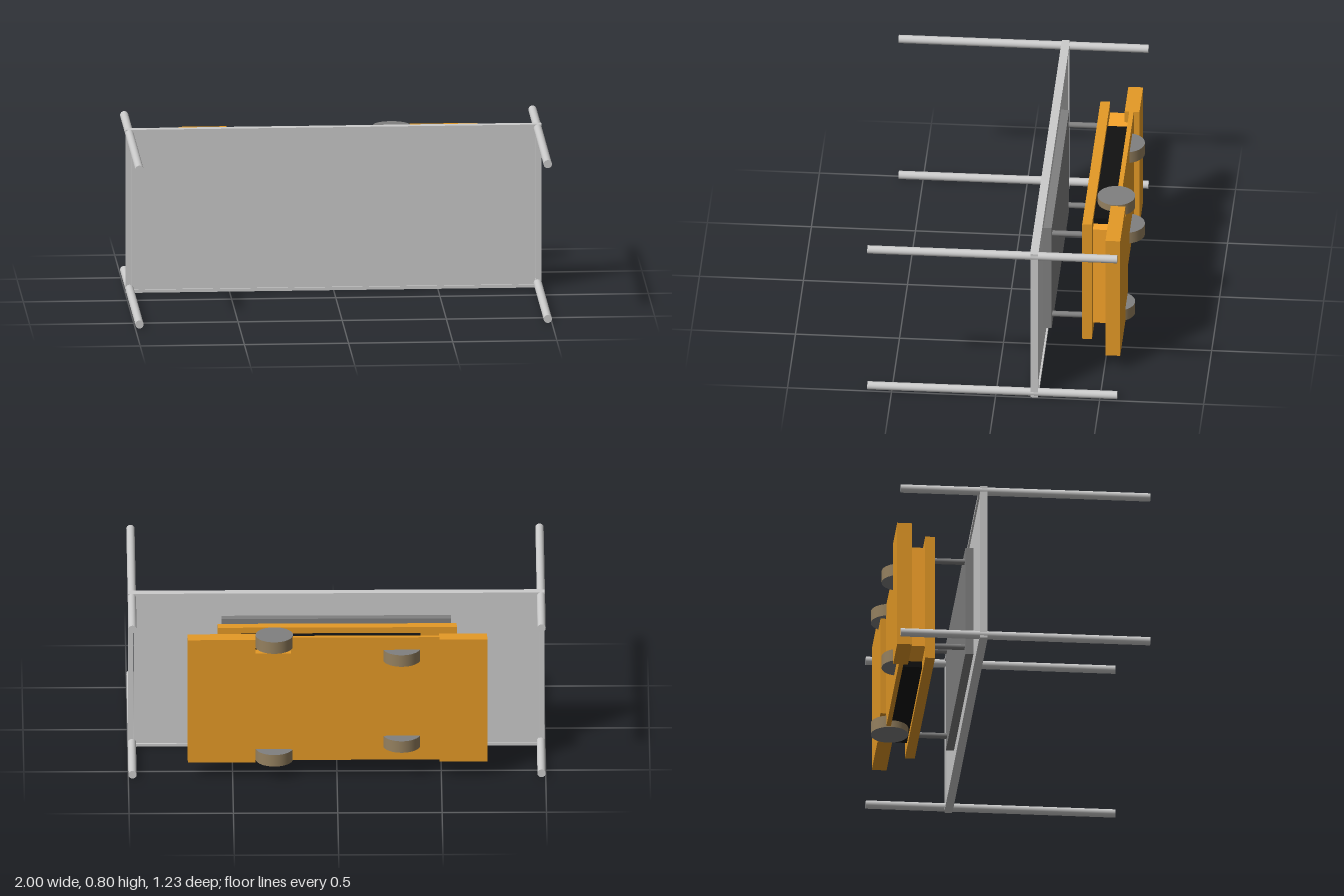
import * as THREE from 'three';

const paint = (color) => new THREE.MeshStandardMaterial({ color });

export function createModel() {
  const model = new THREE.Group();
  const grey = paint(0xcccccc), darkGrey = paint(0x808080), tread = paint(0x94805f);
  const orange = paint(0xfaa62b), deepOrange = paint(0xe59a26), black = paint(0x111111);

  // box given by its limits on each axis
  const box = (name, material, [x0, x1], [y0, y1], [z0, z1]) => {
    const mesh = new THREE.Mesh(new THREE.BoxGeometry(x1 - x0, y1 - y0, z1 - z0), material);
    mesh.position.set((x0 + x1) / 2, (y0 + y1) / 2, (z0 + z1) / 2);
    mesh.name = name;
    model.add(mesh);
  };
  // round bar running along z
  const rod = (name, material, r, x, y, z0, z1) => {
    const geometry = new THREE.CylinderGeometry(r, r, z1 - z0, 24).rotateX(Math.PI / 2);
    const mesh = new THREE.Mesh(geometry, material);
    mesh.position.set(x, y, (z0 + z1) / 2);
    mesh.name = name;
    model.add(mesh);
  };

  // shelf panel set in a rim, with four long corner poles
  box('shelfPanel', grey, [-0.97, 0.97], [0.015, 0.785], [-0.196, -0.174]);
  for (const s of [-1, 1]) {
    const side = s < 0 ? [-0.998, -0.972] : [0.972, 0.998];
    box('sideRim', grey, side, [0, 0.8], [-0.203, -0.167]);
    const edge = s < 0 ? [0, 0.015] : [0.785, 0.8];
    box('longRim', grey, [-0.98, 0.98], edge, [-0.205, -0.165]);
    for (const y of [0.02, 0.78]) {
      rod('cornerPole', grey, 0.02, s * 0.98, y, -0.583, 0.617);
    }
  }

  // lifting plate and its four struts
  box('liftPlate', darkGrey, [-0.55, 0.55], [0.12, 0.68], [-0.235, -0.196]);
  for (const x of [-0.505, 0.505]) {
    for (const y of [0.175, 0.625]) rod('liftStrut', darkGrey, 0.014, x, y, -0.39, -0.23);
  }

  // carrier body
  box('deckPlate', deepOrange, [-0.575, 0.57], [0.08, 0.72], [-0.43, -0.383]);
  box('body', orange, [-0.575, 0.515], [0.14, 0.66], [-0.53, -0.43]);
  box('sideStrip', black, [-0.4, 0.46], [0.11, 0.69], [-0.53, -0.43]);
  box('basePlate', deepOrange, [-0.49, 0.22], [0.08, 0.72], [-0.55, -0.528]);
  box('leftBumper', deepOrange, [0.39, 0.715], [0.08, 0.72], [-0.577, -0.506]);
  box('leftBumperNeck', deepOrange, [0.22, 0.39], [0.15, 0.65], [-0.577, -0.506]);
  box('rightBumper', deepOrange, [-0.72, -0.49], [0.08, 0.72], [-0.577, -0.506]);

  // wheels: outer pair in the notches, inner pair through the base
  for (const [x, offset] of [[0.3, 0.295], [-0.31, 0.225]]) {
    for (const s of [-1, 1]) {
      const geometry = new THREE.CylinderGeometry(0.09, 0.09, 0.06, 48);
      const wheel = new THREE.Mesh(geometry, [tread, darkGrey, darkGrey]);
      wheel.position.set(x, 0.4 + s * offset, -0.527);
      wheel.name = 'wheel';
      model.add(wheel);
    }
  }
  return model;
}
